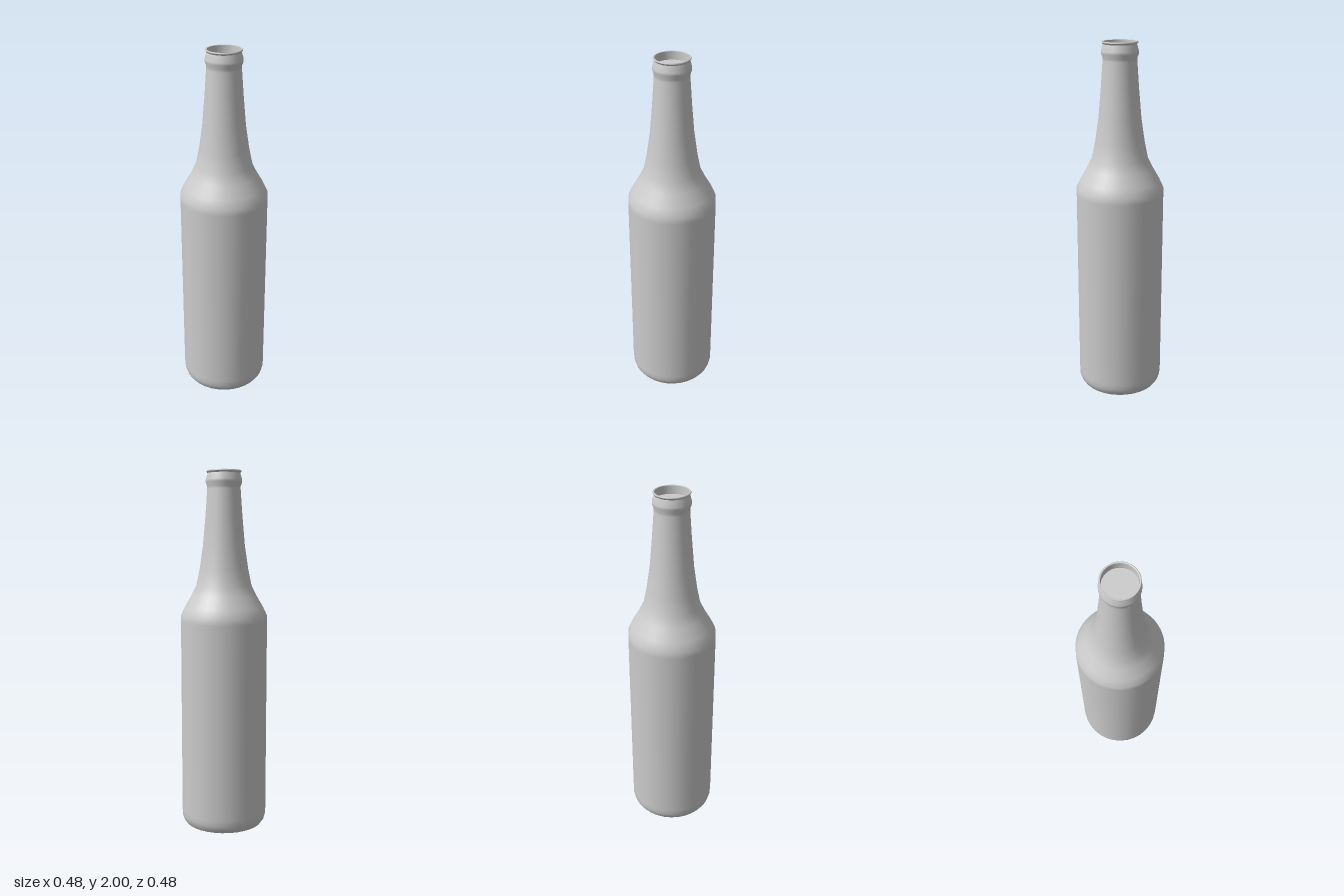
import * as THREE from 'three';

const SIDES = 32;

export function createModel() {
  const bottle = new THREE.Group();
  bottle.name = 'bottle';
  const material = new THREE.MeshStandardMaterial({ color: 0xcccccc, side: THREE.DoubleSide });

  // Each section is its own lathe, so edges between sections stay sharp.
  // Profile points are [radius, height].
  const turn = (name, profile) => {
    const points = profile.map(([r, y]) => new THREE.Vector2(r, y));
    const mesh = new THREE.Mesh(new THREE.LatheGeometry(points, SIDES), material);
    mesh.name = name;
    bottle.add(mesh);
  };

  // Nearly flat underside
  turn('base', [[0, 0], [0.14, 0.003], [0.218, 0.025]]);

  // Body, shoulder, tapering neck and the bead below the mouth
  turn('body', [
    [0.218, 0.025], [0.232, 0.045], [0.239, 0.07], [0.24, 0.1],
    [0.24, 1.18], [0.239, 1.215], [0.218, 1.26], [0.18, 1.325],
    [0.153, 1.38], [0.134, 1.47], [0.115, 1.6], [0.101, 1.76],
    [0.091, 1.9], [0.091, 1.915], [0.099, 1.937], [0.099, 1.95],
    [0.089, 1.985],
  ]);

  // Flared lip around the mouth
  turn('lipUnderside', [[0.089, 1.985], [0.095, 1.993]]);
  turn('lip', [[0.095, 1.993], [0.095, 1.998], [0.092, 2], [0.087, 1.998]]);

  // Shallow recess inside the mouth
  turn('mouthWall', [[0.087, 1.998], [0.086, 1.955]]);
  turn('mouthFloor', [[0.086, 1.955], [0, 1.955]]);

  return bottle;
}
